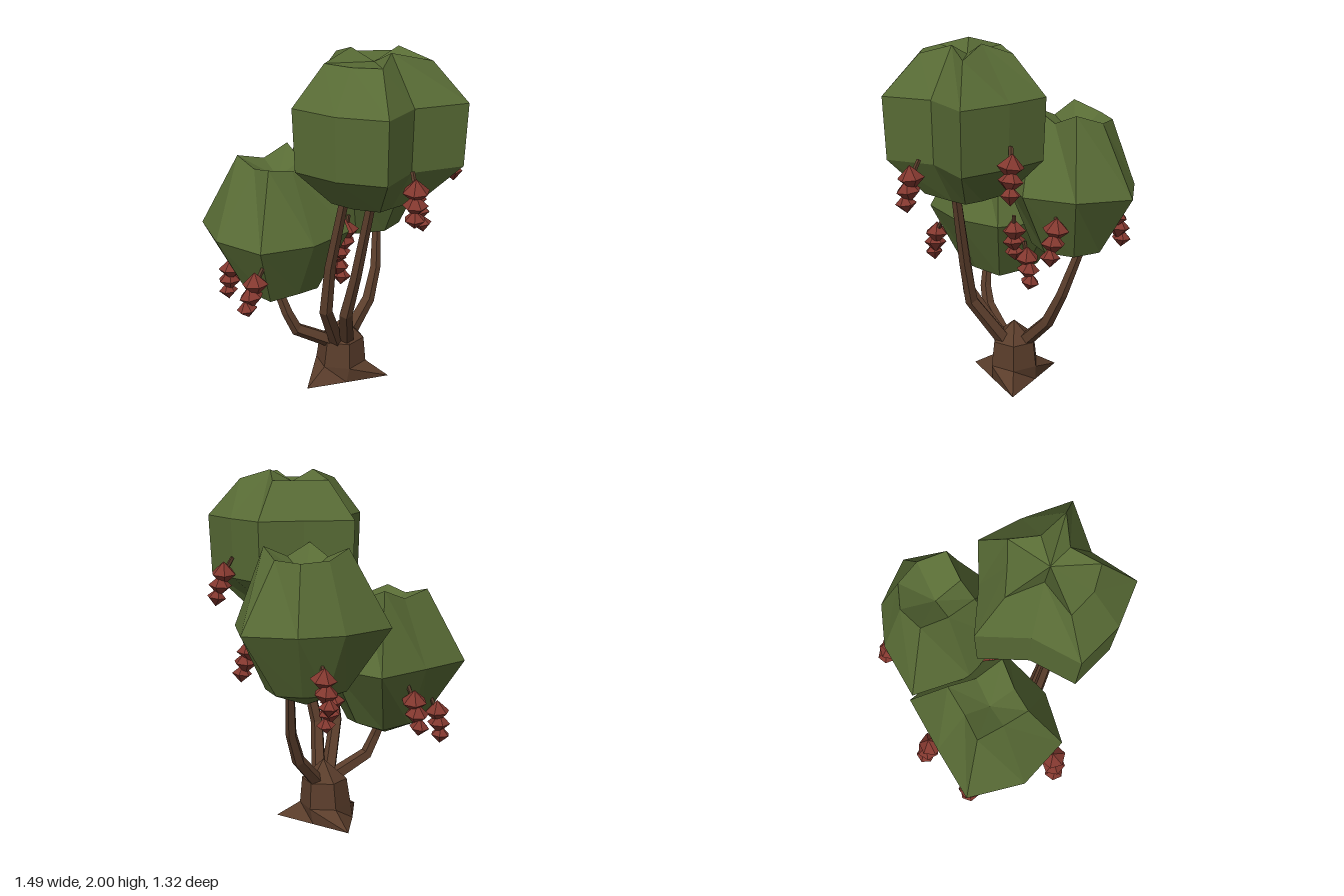
import * as THREE from 'three';

const mat = (color) => new THREE.MeshStandardMaterial({ color, flatShading: true });
const V = (x, y, z) => new THREE.Vector3(x, y, z);

// Faceted skin over rings listed from top to bottom; a one-point ring is a pole
function loft(rings, material, name) {
  const n = Math.max(...rings.map((r) => r.length));
  const pos = [];
  const tri = (a, b, c) => [a, b, c].forEach((p) => pos.push(p.x, p.y, p.z));
  for (let k = 0; k < rings.length - 1; k++) {
    const up = rings[k], lo = rings[k + 1];
    for (let i = 0; i < n; i++) {
      const j = (i + 1) % n;
      const a = up[i % up.length], b = up[j % up.length];
      const c = lo[i % lo.length], d = lo[j % lo.length];
      if (up.length > 1) tri(a, b, c);
      if (lo.length > 1) tri(b, d, c);
    }
  }
  const g = new THREE.BufferGeometry();
  g.setAttribute('position', new THREE.Float32BufferAttribute(pos, 3));
  g.computeVertexNormals();
  const mesh = new THREE.Mesh(g, material);
  mesh.name = name;
  return mesh;
}

// Horizontal ring with one radius, and optionally one height offset, per corner
const ring = (x, y, z, radii, lift = []) => radii.map((r, i) => {
  const t = (i / radii.length) * Math.PI * 2;
  return V(x + r * Math.cos(t), y + (lift[i] ?? 0), z + r * Math.sin(t));
});

// Leaf crown: lobed outline repeated at several heights, dimpled on top
function crown(name, x, z, top, bottom, layers, material) {
  const rings = layers.map(([y, radii, lift]) => ring(x, y, z, radii, lift));
  return loft([[V(x, top, z)], ...rings, [V(x, bottom, z)]], material, name);
}

// Tapered five-sided branch along a path from the trunk upwards
function branch(name, points, r0, r1, material) {
  const path = points.map((p) => V(...p));
  const rings = path.map((p, k) => {
    const dir = path[Math.min(k + 1, path.length - 1)].clone()
      .sub(path[Math.max(k - 1, 0)]).normalize();
    const q = new THREE.Quaternion().setFromUnitVectors(V(0, 1, 0), dir);
    const r = r0 + (r1 - r0) * k / (path.length - 1);
    return ring(0, 0, 0, Array(5).fill(r)).map((v) => v.applyQuaternion(q).add(p));
  }).reverse();
  return loft([[path[path.length - 1]], ...rings, [path[0]]], material, name);
}

// Hanging fruit: three stacked faceted beads on a short stem
function fruit(x, y, z, dx, dz, bead, stem) {
  const g = new THREE.Group();
  g.name = 'fruitCluster';
  [0.072, 0.067, 0.056].forEach((r, k) => {
    const m = new THREE.Mesh(new THREE.SphereGeometry(r, 6, 2), bead);
    m.name = 'fruitBead';
    m.scale.y = 0.95;
    m.position.set(x + dx * k, y - 0.068 * k, z + dz * k);
    m.rotation.set(dz * 7, k * 0.6 + x * 3, -dx * 7);
    g.add(m);
  });
  g.add(branch('fruitStem', [[x, y, z], [x - dx - x * 0.05, y + 0.09, z - dz - z * 0.05]], 0.014, 0.012, stem));
  return g;
}

export function createModel() {
  const tree = new THREE.Group();
  tree.name = 'tree';
  const leaf = mat(0x586b35), bark = mat(0x5a3d2b), red = mat(0x83382f);

  // Trunk: triangular foot flaring into a six-sided stump with a blunt tip
  const six = (r) => Array(6).fill(r);
  tree.add(loft([
    [V(0.05, 0.355, 0)],
    ring(0.045, 0.24, 0, six(0.13)),
    ring(0.04, 0.09, 0, six(0.148)),
    ring(0.025, 0, 0, [0.3, 0.145, 0.278, 0.145, 0.278, 0.145]),
    [V(0.025, 0, 0)],
  ], bark, 'trunk'));

  // Branches
  [
    [[0.02, 0.22, 0.05], [-0.19, 0.34, 0.16], [-0.24, 0.45, 0.18], [-0.3, 0.6, 0.17]],
    [[0.06, 0.2, -0.03], [0.17, 0.4, -0.19], [0.2, 0.58, -0.27], [0.19, 0.85, -0.37]],
    [[0.08, 0.22, 0.04], [0.11, 0.5, 0.24], [0.17, 0.75, 0.27], [0.26, 1.22, 0.31]],
    [[0.03, 0.22, 0.06], [0.0, 0.52, 0.26], [0.03, 0.8, 0.29], [0.12, 1.24, 0.33]],
  ].forEach((p) => tree.add(branch('branch', p, 0.045, 0.026, bark)));

  // Low crown
  tree.add(crown('lowCrown', -0.3, 0.09, 1.23, 0.5, [
    [1.335, [0.24, 0.15, 0.21, 0.15, 0.23, 0.15, 0.23, 0.15], [0, -0.03, 0, -0.03, 0.01, -0.03, 0.03, -0.03]],
    [0.935, [0.4, 0.36, 0.42, 0.4, 0.45, 0.33, 0.47, 0.4]],
    [0.575, [0.22, 0.2, 0.23, 0.22, 0.21, 0.2, 0.22, 0.22], [0, 0.02, 0, 0.02, 0, 0.02, 0, 0.02]],
  ], leaf));

  // Back crown
  tree.add(crown('backCrown', 0.11, -0.33, 1.46, 0.77, [
    [1.59, [0.22, 0.155, 0.22, 0.155, 0.23, 0.2, 0.2, 0.2], [0.035, -0.03, 0.035, -0.03, 0.03, -0.02, -0.03, -0.02]],
    [1.2, [0.38, 0.39, 0.37, 0.38, 0.46, 0.33, 0.33, 0.42]],
    [0.85, [0.22, 0.22, 0.23, 0.22, 0.22, 0.18, 0.16, 0.2]],
  ], leaf));

  // Top crown: ten lobes, the grooves between them deepening towards the poles
  const lobes = [0.49, 0.285, 0.45, 0.42, 0.46, 0.31, 0.47, 0.35, 0.43, 0.39];
  const lobe = (f) => lobes.map((r) => r * f);
  tree.add(crown('topCrown', 0.25, 0.235, 1.93, 1.15, [
    [1.945, [0.3, 0.12, 0.25, 0.25, 0.28, 0.12, 0.28, 0.21, 0.25, 0.14],
      [0, 0.045, 0, 0, 0, 0.055, 0, 0, 0, 0.055]],
    [1.735, lobe(1)],
    [1.4, lobe(0.97)],
    [1.2, [0.26, 0.14, 0.24, 0.22, 0.24, 0.15, 0.24, 0.18, 0.22, 0.13],
      [0, -0.03, 0, 0, 0, -0.03, 0, 0, 0, -0.03]],
  ], leaf));

  // Fruit clusters: x, y, z of the top bead, then drift per bead
  [
    [0.51, 1.34, 0.51, 0, 0.015],
    [0.61, 1.43, 0, 0.022, 0],
    [0.43, 1.04, -0.23, 0.025, 0.015],
    [-0.01, 0.97, -0.57, -0.015, -0.02],
    [-0.34, 0.75, 0.48, -0.022, 0.012],
    [-0.6, 0.64, 0.06, -0.01, 0],
    [-0.47, 0.77, -0.21, -0.015, -0.015],
    [-0.01, 0.72, -0.07, 0.018, -0.01],
    [0.07, 0.91, 0, -0.015, 0],
  ].forEach((f) => tree.add(fruit(...f, red, bark)));

  return tree;
}
